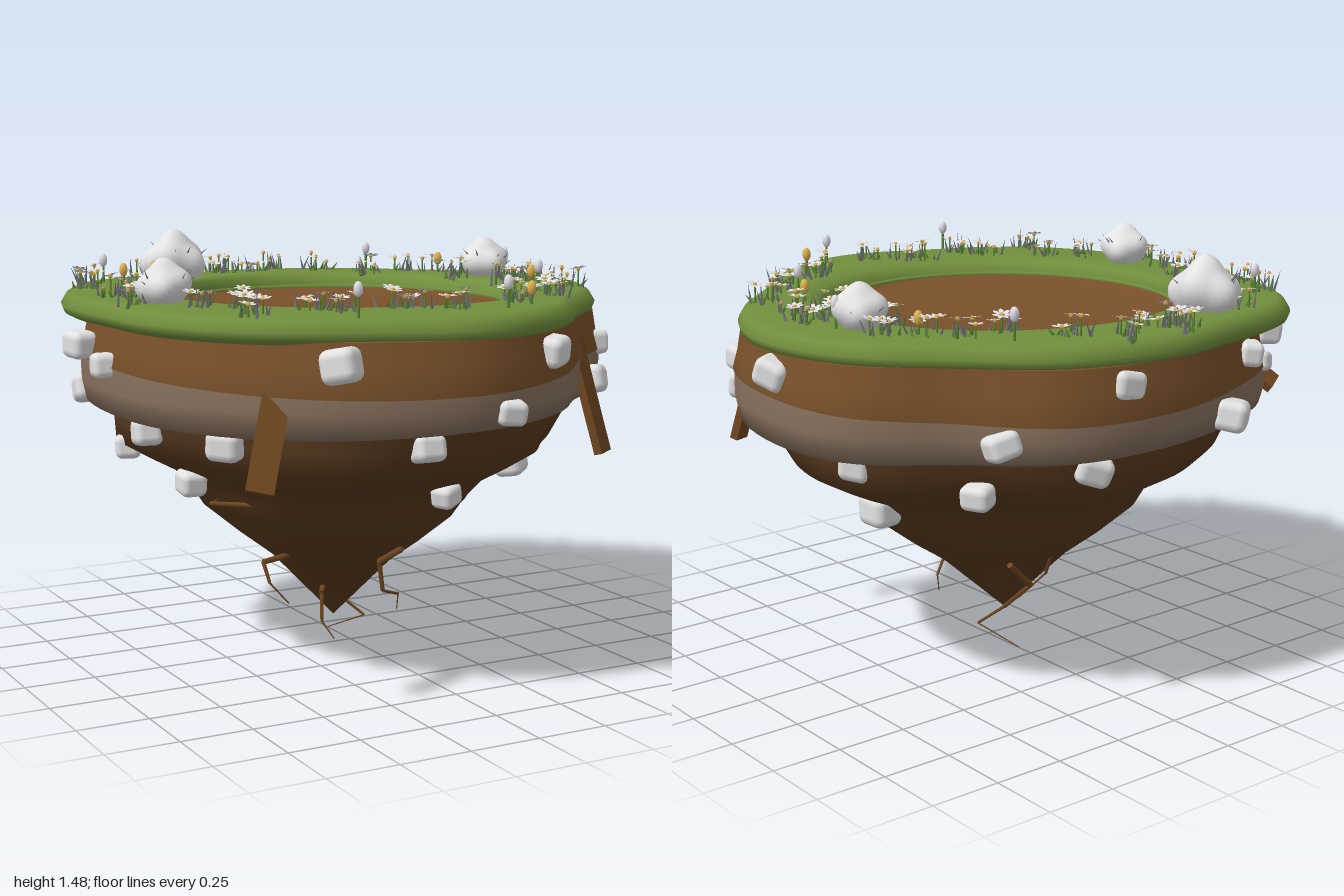
import * as THREE from 'three';
import { mergeGeometries } from 'three/addons/utils/BufferGeometryUtils.js';
import { RoundedBoxGeometry } from 'three/addons/geometries/RoundedBoxGeometry.js';

const mat = (name, color, side = THREE.FrontSide) => {
  const m = new THREE.MeshStandardMaterial({ color, side });
  m.name = name;
  return m;
};

let seed = 7;
const rand = (a = 0, b = 1) => {
  seed = (seed * 16807) % 2147483647;
  return a + (b - a) * (seed / 2147483647);
};

// Radii of the uneven outlines, every 22.5 degrees from +x towards +z
const TURF = [.95, .89, .83, .9, .96, .93, .97, .97, .95, 1.02, 1.06, .96, .94, .92, .88, .94];
const SOIL = [.95, .91, .83, .9, .97, .97, .95, .94, .93, .96, .98, .95, .95, .95, .89, .97];
const radius = (table, a) => {
  const t = (a / (Math.PI * 2)) * 16, i = Math.floor(t), f = t - i;
  const p = k => table[(i + k + 16) % 16];
  return p(0) + .5 * f * (p(1) - p(-1) + f * (2 * p(-1) - 5 * p(0) + 4 * p(1) - p(2) + f * (3 * (p(0) - p(1)) + p(2) - p(-1))));
};

// Skin through closed rings; ring(level, angle) gives [x, y, z]
function loft(levels, ring, n = 96) {
  const pos = [], idx = [];
  for (let i = 0; i < levels; i++)
    for (let j = 0; j < n; j++) pos.push(...ring(i, (j / n) * Math.PI * 2));
  for (let i = 0; i < levels - 1; i++)
    for (let j = 0; j < n; j++) {
      const k = (j + 1) % n, a = i * n + j, b = i * n + k, c = a + n, d = b + n;
      idx.push(a, c, b, b, c, d);
    }
  const g = new THREE.BufferGeometry();
  g.setAttribute('position', new THREE.Float32BufferAttribute(pos, 3));
  g.setIndex(idx);
  g.computeVertexNormals();
  return g;
}

// Smooth boulder: a ball swollen by a crown and a ring of lobes
function boulderGeometry(r, height, turn) {
  const lobes = [new THREE.Vector3(0, 1, 0)];
  for (let k = 0; k < 5; k++) {
    const a = turn + k * 1.257;
    lobes.push(new THREE.Vector3(Math.cos(a), .1 + .3 * (k % 2), Math.sin(a)).normalize());
  }
  const g = new THREE.SphereGeometry(1, 32, 22), p = g.attributes.position, v = new THREE.Vector3();
  for (let i = 0; i < p.count; i++) {
    v.fromBufferAttribute(p, i);
    const swell = lobes.reduce((s, l) => s + Math.max(0, v.dot(l)) ** 6, 0);
    v.multiplyScalar(.7 + .3 * swell);
    p.setXYZ(i, v.x * r, v.y * height, v.z * r);
  }
  g.computeVertexNormals();
  return g;
}

export function createModel() {
  const M = {
    turf: mat('grass green', 0x718f3d),
    soil: mat('soil brown', 0x7a512a),
    clay: mat('clay grey brown', 0x89725f),
    earth: mat('dark earth', 0x5a3b20),
    stone: mat('pale stone', 0xe2e2e2),
    wood: mat('wood brown', 0x704820),
    petal: mat('petal white', 0xe6e6ee, THREE.DoubleSide),
    blade: mat('dusky blade', 0x7d7986, THREE.DoubleSide),
    stem: mat('stem green', 0x5c8a38),
    pollen: mat('pollen yellow', 0xe0b450)
  };
  const root = new THREE.Group();
  root.name = 'floatingIsland';
  const add = (name, geo, m, parent = root) => {
    const mesh = new THREE.Mesh(geo, m);
    mesh.name = name;
    parent.add(mesh);
    return mesh;
  };

  // Grass ring: outer lip, top, then a lip of varying slope into the round hollow
  const outer = [[.12, 1.2], [.04, 1.205], [.01, 1.22], [0, 1.247], [.02, 1.28], [.05, 1.296]];
  const inner = [[.065, 1.299], [.03, 1.285], [.012, 1.26], [0, 1.21]];
  add('grassRing', loft(10, (i, a) => {
    const c = Math.cos(a), s = Math.sin(a);
    if (i < 6) {
      const r = radius(TURF, a) - outer[i][0];
      return [r * c, outer[i][1], r * s];
    }
    const [d, y] = inner[i - 6], r = .615 + d * (1 + .6 * Math.cos(a - .9));
    return [r * c - .04, y, r * s - .04];
  }), M.turf);

  // Floor of the hollow, very slightly dished, with a thin grass rim
  const dish = [[.63, 1.243], [.6, 1.238], [.56, 1.23], [.3, 1.228], [.001, 1.228]];
  add('hollowFloor', loft(dish.length, (i, a) =>
    [dish[i][0] * Math.cos(a) - .04, dish[i][1], dish[i][0] * Math.sin(a) - .04], 64), M.soil);
  const rim = add('hollowRim', new THREE.TorusGeometry(.617, .009, 6, 64).rotateX(Math.PI / 2), M.turf);
  rim.position.set(-.04, 1.243, -.04);

  // Soil layers with wavy borders
  const seamY = a => 1.06 + .02 * Math.sin(2 * a + .8);
  const baseY = a => .92 + .015 * Math.sin(2 * a - .6);
  const wall = (k, y) => a => {
    const r = radius(SOIL, a) * k;
    return [r * Math.cos(a), typeof y === 'number' ? y : y(a), r * Math.sin(a)];
  };
  const layer = (name, rings, m) => add(name, loft(rings.length, (i, a) => rings[i](a)), m);
  layer('soilLayer', [wall(.985, a => seamY(a) - .004), wall(1.004, seamY), wall(.985, 1.14), wall(.97, 1.218)], M.soil);
  layer('soilCap', [wall(.97, 1.218), wall(.86, 1.222)], M.soil);
  layer('clayLayer', [wall(.84, a => baseY(a) - .03), wall(.985, baseY), wall(1, .99), wall(1, a => seamY(a) + .002)], M.clay);

  // Tapering underside, tip a little off centre
  const taper = [[.1, .002], [.33, .25], [.42, .38], [.52, .51], [.59, .56], [.66, .63], [.71, .73], [.77, .84], [.85, .87], [.92, .89]];
  add('underside', loft(taper.length, (i, a) => {
    const [y, k] = taper[i], f = 1 - (y - .1) / .83;
    const r = radius(SOIL, a) * k * (1 + .03 * Math.sin(5 * a + y * 4) * (i < 8 ? 1 : .3));
    return [r * Math.cos(a) - .06 * f, y, r * Math.sin(a) - .02 * f];
  }), M.earth);

  // Stones stuck in the sides: x, y, z, size
  const stones = [
    [-.48, 1.15, .84, .066], [.3, 1.15, .84, .06], [.07, .98, .95, .048], [-.16, .86, .82, .053], [.36, .72, .51, .054],
    [.04, .65, .61, .046], [.57, .63, -.13, .066], [.79, 1.1, .38, .052], [.72, .98, .47, .06], [.94, 1.15, -.07, .058],
    [-.95, 1.13, -.2, .056], [-.94, 1.08, 0, .05], [-.83, .86, .1, .055], [-.7, .86, .46, .06], [-.65, .66, .05, .052],
    [-.78, .76, -.2, .05], [-.31, .98, -.91, .062], [-.48, 1.15, -.82, .05], [.15, 1.15, -.89, .058], [.53, .98, -.74, .052],
    [.2, .86, -.8, .058], [.76, .86, -.28, .062], [-.02, .77, -.65, .06], [-.62, .93, -.66, .043], [-.69, 1.18, -.69, .052],
    [-.64, 1.08, -.72, .04], [-.86, .95, -.38, .058], [.5, .77, -.58, .05]
  ];
  const stoneGroup = new THREE.Group();
  stoneGroup.name = 'sideStones';
  root.add(stoneGroup);
  const stoneGeo = new RoundedBoxGeometry(2, 1.7, 1.9, 2, .5);
  for (const [x, y, z, s] of stones) {
    const m = add('sideStone', stoneGeo, M.stone, stoneGroup);
    m.position.set(x, y, z);
    m.scale.set(s * rand(.9, 1.1), s, s * rand(.85, 1));
    m.rotation.set(rand(-.25, .25), Math.atan2(x, z) + rand(-.5, .5), rand(-.25, .25));
  }

  // Old planks leaning out of the soil
  const up = new THREE.Vector3(0, 1, 0);
  const planks = [[[.6, 1.15, .53], [.68, .74, .61], .075], [[-.6, 1.12, .66], [-.73, .76, .77], .09], [[-.64, 1.06, -.66], [-.7, .99, -.73], .08]];
  for (const [p, q, w] of planks) {
    const a = new THREE.Vector3(...p), b = new THREE.Vector3(...q);
    const m = add('plank', new THREE.BoxGeometry(w, a.distanceTo(b), .03), M.wood);
    m.position.copy(a).add(b).multiplyScalar(.5);
    const yy = a.clone().sub(b).normalize();
    const zz = new THREE.Vector3(a.x * .5, 0, a.z).normalize();
    const xx = yy.clone().cross(zz).normalize();
    m.quaternion.setFromRotationMatrix(new THREE.Matrix4().makeBasis(xx, yy, xx.clone().cross(yy)));
  }

  // Crooked roots near the tip, thinning segment by segment
  const roots = [
    [[.14, .38, -.3], [.02, .27, -.27], [.01, .14, -.11], [.08, .07, -.04], [0, 0, -.18]],
    [[-.25, .38, .1], [-.42, .37, .14], [-.41, .3, .17], [-.34, .22, .18]],
    [[-.12, .28, .04], [-.17, .22, .1], [-.18, .12, .12], [-.15, .06, .16]],
    [[.0, .42, .38], [-.04, .36, .29], [-.02, .25, .28], [.1, .2, .18], [.1, .14, .17]],
    [[.15, .36, -.05], [-.03, .43, -.34], [-.05, .3, -.27], [.02, .2, -.2]],
    [[-.3, .6, .42], [-.6, .59, .1], [-.52, .58, 0]]
  ];
  const segs = [];
  for (const path of roots)
    for (let i = 0; i < path.length - 1; i++) {
      const a = new THREE.Vector3(...path[i]), b = new THREE.Vector3(...path[i + 1]);
      const r = .012 * (1 - i / (path.length - 1)), r2 = .012 * (1 - (i + 1) / (path.length - 1)) + .002;
      const g = new THREE.CylinderGeometry(r2, r, a.distanceTo(b), 5);
      g.applyQuaternion(new THREE.Quaternion().setFromUnitVectors(up, b.clone().sub(a).normalize()));
      g.translate((a.x + b.x) / 2, (a.y + b.y) / 2, (a.z + b.z) / 2);
      segs.push(g);
    }
  add('roots', mergeGeometries(segs), M.wood);

  // Small plants are gathered by kind
  const kit = { petal: [], blade: [], stem: [], pollen: [], bud: [] };
  const spike = (list, x, y, z, r, h, tilt, turn) => list.push(
    new THREE.ConeGeometry(r, h, 3).translate(0, h / 2, 0).rotateZ(-tilt).rotateY(turn).translate(x, y, z));
  const daisy = (x, z, h, r) => {
    kit.stem.push(new THREE.CylinderGeometry(.003, .004, h, 4).translate(x, 1.29 + h / 2, z));
    const tx = rand(-.25, .25), tz = rand(-.25, .25), turn = rand(0, 3);
    const place = g => g.rotateX(tx).rotateZ(tz).translate(x, 1.29 + h, z);
    for (let k = 0; k < 7; k++)
      kit.petal.push(place(new THREE.CircleGeometry(.5, 6).scale(r * .8, r * .5, 1).rotateX(-Math.PI / 2)
        .translate(r * .6, 0, 0).rotateZ(.15).rotateY(turn + k * Math.PI / 3.5)));
    kit.pollen.push(place(new THREE.SphereGeometry(r * .25, 6, 4)));
  };
  const clumps = [
    [-.15, -.8], [-.02, -.8], [.1, -.86], [-.12, -.88], [.25, -.74], [.38, -.56], [.52, -.56], [.6, -.45], [.72, -.36], [.6, -.23], [.7, -.05],
    [.8, -.05], [.61, .07], [.75, .11], [.73, .31], [.59, .43], [.5, .54], [.34, .6], [.26, .66], [-.18, .66], [-.14, .7], [-.38, .67], [-.02, .77],
    [-.44, .57], [-.67, .6], [-.61, .42], [-.72, .32], [-.87, .12], [-.8, -.03], [-.85, -.14], [-.73, -.23], [-.82, -.44], [-.77, -.58], [-.48, -.76]
  ];
  for (const [x, z] of clumps) {
    for (let k = 0; k < 3; k++) {
      const a = k * 2.09 + x * 9;
      daisy(x + Math.cos(a) * .035, z + Math.sin(a) * .035, rand(.035, .075), rand(.029, .036));
    }
    for (let k = 0; k < 6; k++)
      spike(kit.blade, x + rand(-.05, .05), 1.285, z + rand(-.05, .05), .007, rand(.05, .09), rand(.05, .6), rand(0, 6.28));
    for (let k = 0; k < 4; k++)
      spike(kit.stem, x + rand(-.05, .05), 1.285, z + rand(-.05, .05), .01, rand(.03, .06), rand(.2, .8), rand(0, 6.28));
  }

  // Closed buds on single stems
  const bud = (list, x, z, h) => {
    kit.stem.push(new THREE.CylinderGeometry(.004, .005, h, 5).translate(x, 1.29 + h / 2, z));
    list.push(new THREE.SphereGeometry(.016, 8, 6).scale(1, 1.6, 1).translate(x, 1.29 + h, z));
  };
  for (const [x, z] of [[-.66, -.52], [.62, .23], [.27, .76], [-.52, -.57], [.62, -.43]]) bud(kit.pollen, x, z, .06);
  for (const [x, z] of [[.14, .82], [.44, -.69], [.57, .35], [.78, -.2], [-.7, -.62], [-.4, .8]]) bud(kit.bud, x, z, .09);

  // Lumpy boulders with sprigs on them
  const boulders = [[-.39, -.69, .13, 1.48], [.7, -.22, .1, 1.445], [-.77, .13, .1, 1.445]];
  for (const [x, z, r, top] of boulders) {
    add('boulder', boulderGeometry(r, top - 1.34, x * 4), M.stone).position.set(x, 1.34, z);
    for (let k = 0; k < 8; k++) {
      const a = rand(0, 6.28);
      spike(kit.blade, x + Math.cos(a) * r * .7, 1.33 + r * rand(0, .5), z - Math.sin(a) * r * .7, .005, .045, rand(.4, 1), a);
    }
  }

  add('daisyPetals', mergeGeometries(kit.petal), M.petal);
  add('grassBlades', mergeGeometries(kit.blade), M.blade);
  add('stemsAndLeaves', mergeGeometries(kit.stem), M.stem);
  add('yellowBlooms', mergeGeometries(kit.pollen), M.pollen);
  add('whiteBuds', mergeGeometries(kit.bud), M.petal);
  return root;
}
